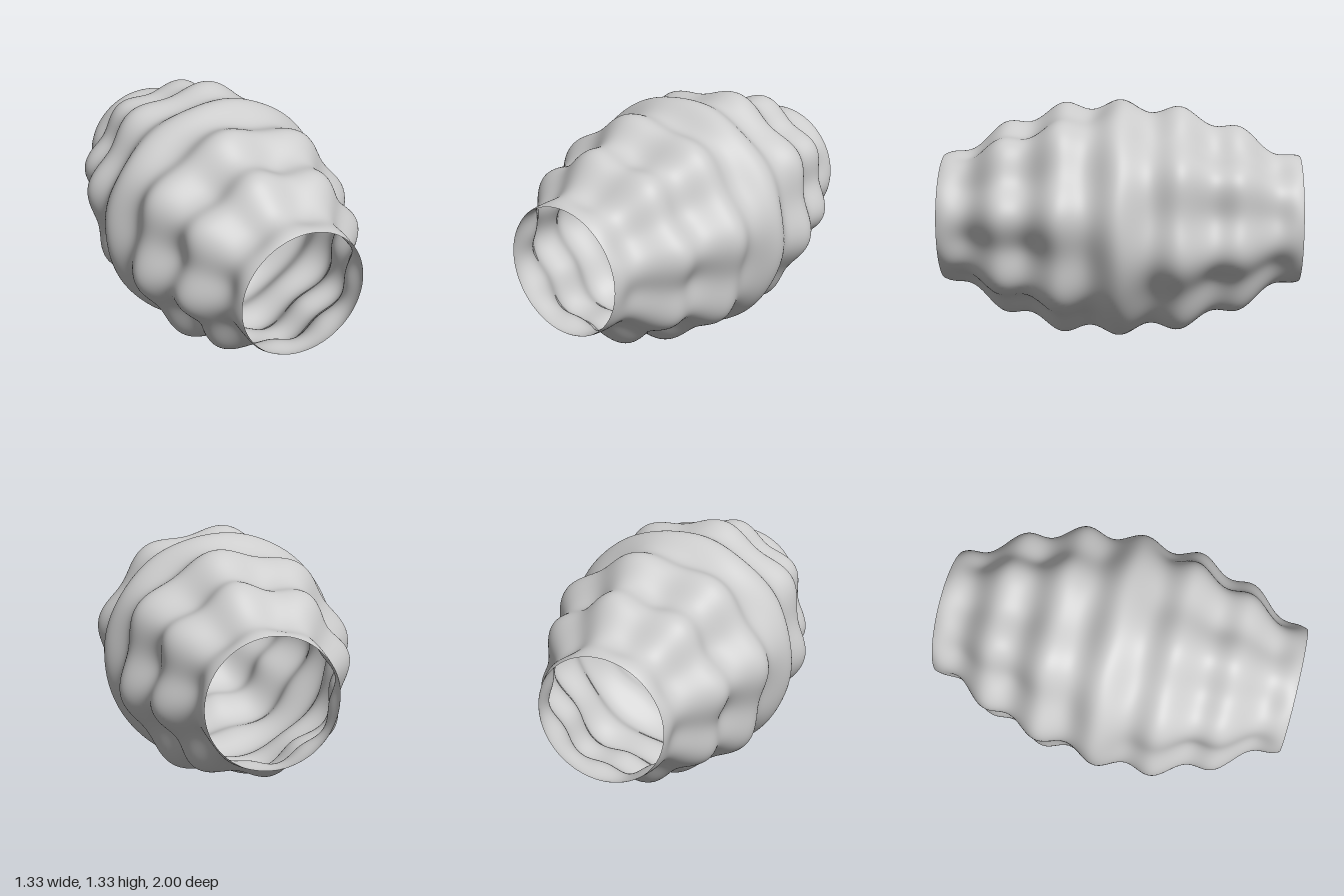
import * as THREE from 'three';
import { ParametricGeometry } from 'three/addons/geometries/ParametricGeometry.js';

const CENTRE_Y = 0.667;
const END_RADIUS = 0.353; // radius of the round openings
const BULGE = 0.313; // extra radius at the middle
const RIPPLE = 0.029; // height of the rings along the length
const LOBE = 0.03; // height of the eight lobes around each ring

// Radius of the shell: barrel bulge, ring ripples, and lobes that swap phase across the middle
function radiusAt(angle, z) {
  return END_RADIUS
    + BULGE * Math.cos(z * Math.PI / 2)
    - RIPPLE * (1 - Math.cos(6 * Math.PI * z))
    + LOBE * Math.sin(Math.PI * z) * Math.sin(8 * angle);
}

export function createModel() {
  const group = new THREE.Group();
  group.name = 'rippledBarrel';

  // Open-ended shell along z
  const geometry = new ParametricGeometry((u, v, target) => {
    const angle = u * Math.PI * 2;
    const z = v * 2 - 1;
    const r = radiusAt(angle, z);
    target.set(r * Math.cos(angle), CENTRE_Y + r * Math.sin(angle), z);
  }, 192, 160);

  const material = new THREE.MeshStandardMaterial({ color: 0xcccccc, side: THREE.DoubleSide });
  const shell = new THREE.Mesh(geometry, material);
  shell.name = 'rippledShell';
  group.add(shell);
  return group;
}
